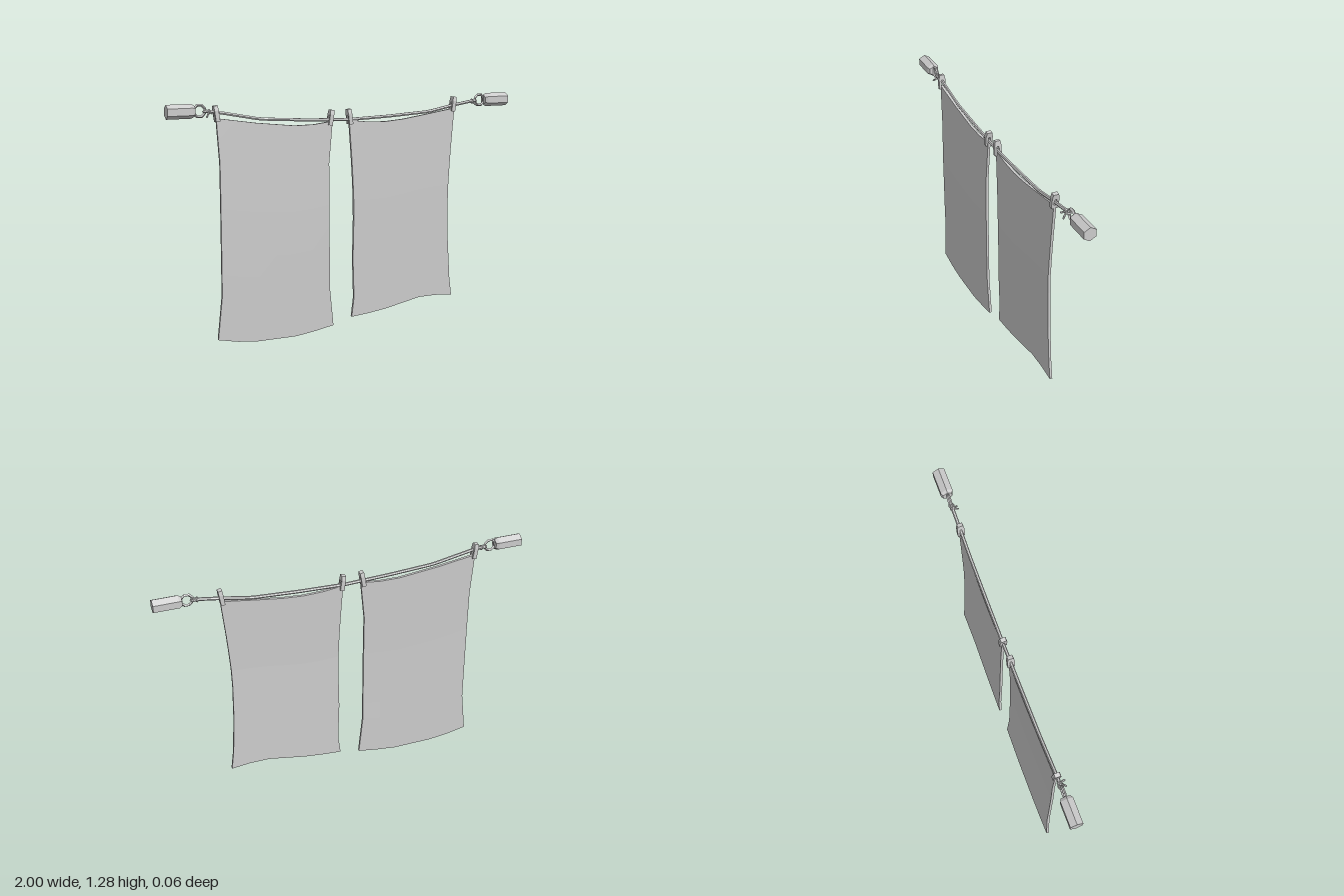
import * as THREE from 'three';

const mat = new THREE.MeshStandardMaterial({ color: 0xcccccc, flatShading: true });
const V = (x, y, z = 0) => new THREE.Vector3(x, y, z);

function add(parent, name, geometry) {
  const mesh = new THREE.Mesh(geometry, mat);
  mesh.name = name;
  parent.add(mesh);
  return mesh;
}

// Straight piece of cord between two points
function cord(parent, name, a, b, r) {
  const m = add(parent, name, new THREE.CylinderGeometry(r, r, a.distanceTo(b), 6));
  m.position.copy(a).lerp(b, 0.5);
  m.quaternion.setFromUnitVectors(V(0, 1), b.clone().sub(a).normalize());
}

// Linear interpolation in a list of [key, value] pairs, keys ascending
function sample(list, k) {
  for (let i = 1; i < list.length; i++) {
    const [k0, v0] = list[i - 1], [k1, v1] = list[i];
    if (k <= k1 || i === list.length - 1) return v0 + (v1 - v0) * (k - k0) / (k1 - k0);
  }
}

// Hanging sheet: a thin subdivided box bent to its four edge curves.
// top/bottom are [x, y] points; left/right are [v, x] with v from 0 (bottom) to 1 (top).
function sheet(parent, name, { top, bottom, left, right, bulge }) {
  const g = new THREE.BoxGeometry(1, 1, 0.014, 6, 10, 1);
  const p = g.attributes.position;
  const span = (edge, u) => edge[0][0] + u * (edge[edge.length - 1][0] - edge[0][0]);
  for (let i = 0; i < p.count; i++) {
    const u = p.getX(i) + 0.5, v = p.getY(i) + 0.5;
    const x = sample(left, v) * (1 - u) + sample(right, v) * u;
    const y = sample(bottom, span(bottom, u)) * (1 - v) + sample(top, span(top, u)) * v;
    p.setXYZ(i, x, y, p.getZ(i) + sample(bulge, v));
  }
  g.computeVertexNormals();
  add(parent, name, g);
}

// Clothes peg: two prongs joined above the line
function pegGeometry() {
  const s = new THREE.Shape();
  [[-0.019, -0.04], [-0.009, -0.04], [-0.005, 0.012], [0.005, 0.012], [0.009, -0.04],
    [0.019, -0.04], [0.019, 0.018], [0.014, 0.042], [-0.014, 0.042], [-0.019, 0.018]]
    .forEach(([a, b], i) => (i ? s.lineTo(a, b) : s.moveTo(a, b)));
  const g = new THREE.ExtrudeGeometry(s, { depth: 0.022, bevelEnabled: false });
  return g.translate(0, 0, -0.011).rotateY(Math.PI / 2);
}

export function createModel() {
  const model = new THREE.Group();
  model.name = 'washingLine';

  // Hexagonal wall anchors with ring and knot at both ends
  const profile = [[0, 0], [0.028, 0], [0.037, 0.016], [0.037, 0.147], [0, 0.147]]
    .map(([r, y]) => new THREE.Vector2(r, y));
  for (const s of [-1, 1]) {
    const end = new THREE.Group();
    end.name = s < 0 ? 'rightAnchor' : 'leftAnchor';
    model.add(end);

    const post = add(end, 'anchorPost', new THREE.LatheGeometry(profile, 6, Math.PI / 6));
    post.rotation.z = -s * Math.PI / 2;
    post.position.set(s * 0.853, 1.247, 0);

    const ring = add(end, 'anchorRing', new THREE.TorusGeometry(0.031, 0.0075, 4, 8));
    ring.rotation.z = Math.PI / 8;
    ring.position.set(s * 0.826, 1.247, 0);

    const wrap = add(end, 'ropeLoop', new THREE.TorusGeometry(0.011, 0.006, 5, 8));
    wrap.rotation.x = Math.PI / 2;
    wrap.position.set(s * 0.794, 1.243, 0);
    const knot = add(end, 'ropeKnot', new THREE.TorusGeometry(0.009, 0.006, 5, 8));
    knot.rotation.y = Math.PI / 2;
    knot.position.set(s * 0.776, 1.241, 0);
    cord(end, 'ropeTail', V(s * 0.778, 1.238, 0.004), V(s * 0.796, 1.217, 0.029), 0.005);
    cord(end, 'ropeTail', V(s * 0.776, 1.241, 0.004), V(s * 0.768, 1.235, 0.03), 0.005);
  }

  // Sagging rope
  const path = new THREE.CurvePath();
  const pts = [[-0.795, 1.245], [-0.73, 1.237], [-0.5, 1.193], [-0.25, 1.178], [0, 1.169],
    [0.25, 1.178], [0.5, 1.193], [0.65, 1.222], [0.795, 1.245]].map(([x, y]) => V(x, y));
  for (let i = 1; i < pts.length; i++) path.add(new THREE.LineCurve3(pts[i - 1], pts[i]));
  add(model, 'rope', new THREE.TubeGeometry(path, 40, 0.009, 6));

  // Sheets
  sheet(model, 'rightSheet', {
    top: [[-0.74, 1.207], [-0.53, 1.175], [-0.3, 1.15], [-0.2, 1.152], [-0.09, 1.165]],
    bottom: [[-0.752, 0.04], [-0.585, 0.005], [-0.28, 0.005], [-0.087, 0.04]],
    left: [[0, -0.752], [0.2, -0.727], [0.8, -0.725], [1, -0.74]],
    right: [[0, -0.087], [0.2, -0.11], [0.8, -0.112], [1, -0.09]],
    bulge: [[0, -0.003], [0.3, 0.002], [0.6, 0.004], [1, 0]],
  });
  sheet(model, 'leftSheet', {
    top: [[0.008, 1.167], [0.09, 1.155], [0.21, 1.149], [0.35, 1.16], [0.66, 1.207]],
    bottom: [[0.028, 0.072], [0.2, 0.087], [0.49, 0.145], [0.665, 0.128]],
    left: [[0, 0.028], [0.1, 0.041], [0.3, 0.033], [0.55, 0.037], [0.75, 0.028], [1, 0.008]],
    right: [[0, 0.665], [0.1, 0.65], [0.3, 0.634], [0.55, 0.625], [0.75, 0.637], [1, 0.66]],
    bulge: [[0, -0.009], [0.3, -0.004], [0.6, 0.001], [1, 0]],
  });

  // Pegs at the sheet corners: x, y, tilt
  const peg = pegGeometry();
  for (const [x, y, tilt] of [[-0.738, 1.229, 0.14], [-0.1, 1.184, -0.16],
    [0.011, 1.184, 0.13], [0.653, 1.229, -0.14]]) {
    const m = add(model, 'peg', peg);
    m.position.set(x, y, 0);
    m.rotation.z = tilt;
  }
  return model;
}
